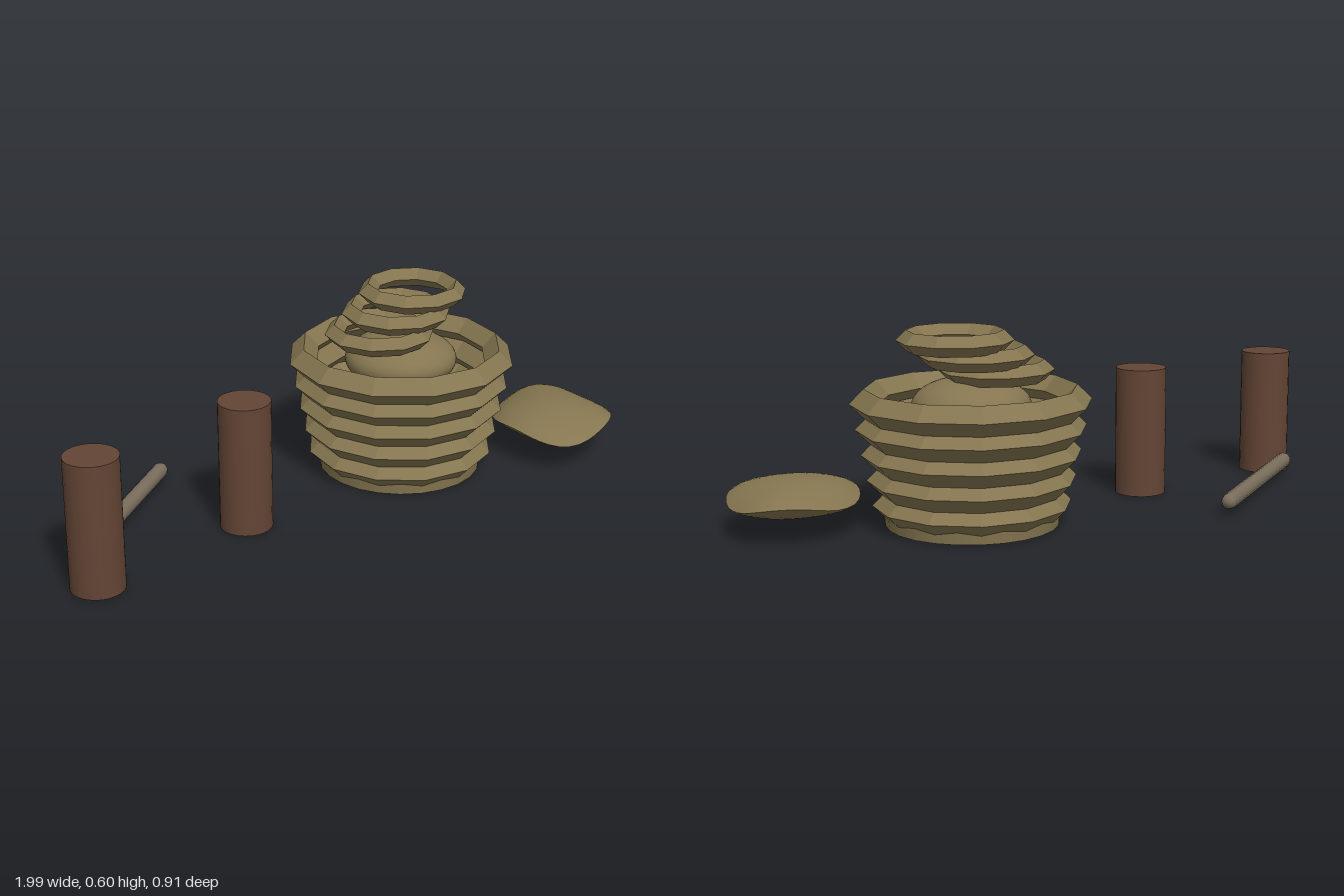
import * as THREE from 'three';

const straw = new THREE.MeshStandardMaterial({ color: 0x857650 });
straw.name = 'straw';
const strawFlat = straw.clone(); // same colour, faceted
strawFlat.name = 'strawFaceted';
strawFlat.flatShading = true;
const darkWood = new THREE.MeshStandardMaterial({ color: 0x634535 });
darkWood.name = 'darkWood';
const paleWood = new THREE.MeshStandardMaterial({ color: 0x7a6e5c });
paleWood.name = 'paleWood';

function add(parent, name, geometry, material, x, y, z) {
  const mesh = new THREE.Mesh(geometry, material);
  mesh.name = name;
  mesh.position.set(x, y, z);
  parent.add(mesh);
  return mesh;
}

// Horizontal ring with a diamond section
const ring = (radius, tube, sides) =>
  new THREE.TorusGeometry(radius, tube, 4, sides).rotateX(Math.PI / 2);

// Lens-shaped cushion: an oval outline with a gently waving sharp rim
function cushionGeometry() {
  const around = 36, steps = 9, pos = [], index = [];
  for (const side of [1, -1]) {
    const start = pos.length / 3;
    for (let i = 0; i <= steps; i++) {
      const t = i / steps;
      for (let j = 0; j <= around; j++) {
        const a = (j / around) * Math.PI * 2;
        const r = t * (1 + 0.025 * Math.cos(4 * a));
        const wave = 0.014 * Math.cos(3 * a + 0.6) * t ** 3;
        pos.push(0.232 * r * Math.cos(a), side * 0.057 * (1 - t * t) ** 0.8 + wave, 0.193 * r * Math.sin(a));
      }
    }
    for (let i = 0; i < steps; i++) {
      for (let j = 0; j < around; j++) {
        const a = start + i * (around + 1) + j, b = a + 1;
        const c = a + around + 1, d = c + 1;
        if (side > 0) index.push(a, b, c, b, d, c);
        else index.push(a, c, b, b, c, d);
      }
    }
  }
  const g = new THREE.BufferGeometry();
  g.setAttribute('position', new THREE.Float32BufferAttribute(pos, 3));
  g.setIndex(index);
  g.computeVertexNormals();
  return g;
}

export function createModel() {
  const model = new THREE.Group();
  model.name = 'basketAndPosts';

  // Two upright posts
  for (const [name, x] of [['rightPost', -0.918], ['leftPost', -0.355]]) {
    add(model, name, new THREE.CylinderGeometry(0.081, 0.081, 0.41, 24), darkWood, x, 0.205, -0.02);
  }

  // Rod lying on the ground behind the posts
  const from = new THREE.Vector3(-0.915, 0.045, -0.12);
  const to = new THREE.Vector3(-0.36, 0.045, -0.432);
  const along = to.clone().sub(from);
  const mid = from.clone().add(to).multiplyScalar(0.5);
  const rod = add(model, 'rod', new THREE.CapsuleGeometry(0.025, along.length(), 3, 10), paleWood, mid.x, mid.y, mid.z);
  rod.quaternion.setFromUnitVectors(new THREE.Vector3(0, 1, 0), along.normalize());

  // Basket of stacked rings widening upward
  const basket = new THREE.Group();
  basket.name = 'basket';
  basket.position.set(0.315, 0, -0.02);
  model.add(basket);
  add(basket, 'basketBase', new THREE.CylinderGeometry(0.267, 0.262, 0.05, 24), straw, 0, 0.027, 0);
  for (let i = 0; i < 5; i++) {
    add(basket, 'basketRing', ring(0.256 + 0.016 * i, 0.045, 12), strawFlat, 0, 0.065 + 0.0775 * i, 0);
  }

  // Rounded lump inside the basket
  add(basket, 'lump', new THREE.SphereGeometry(0.18, 32, 20).scale(1, 0.47, 1), straw, 0, 0.366, 0);

  // Three loose coils leaning out of the top
  for (let i = 0; i < 3; i++) {
    add(basket, 'looseCoil', ring(0.144, 0.031, 10), strawFlat, -0.077 + 0.075 * i, 0.466 + 0.0515 * i, -0.023);
  }

  // Flat cushion beside the basket
  const cushion = add(model, 'cushion', cushionGeometry(), straw, 0.78, 0.106, 0.24);
  cushion.rotation.y = Math.PI / 4;

  return model;
}
